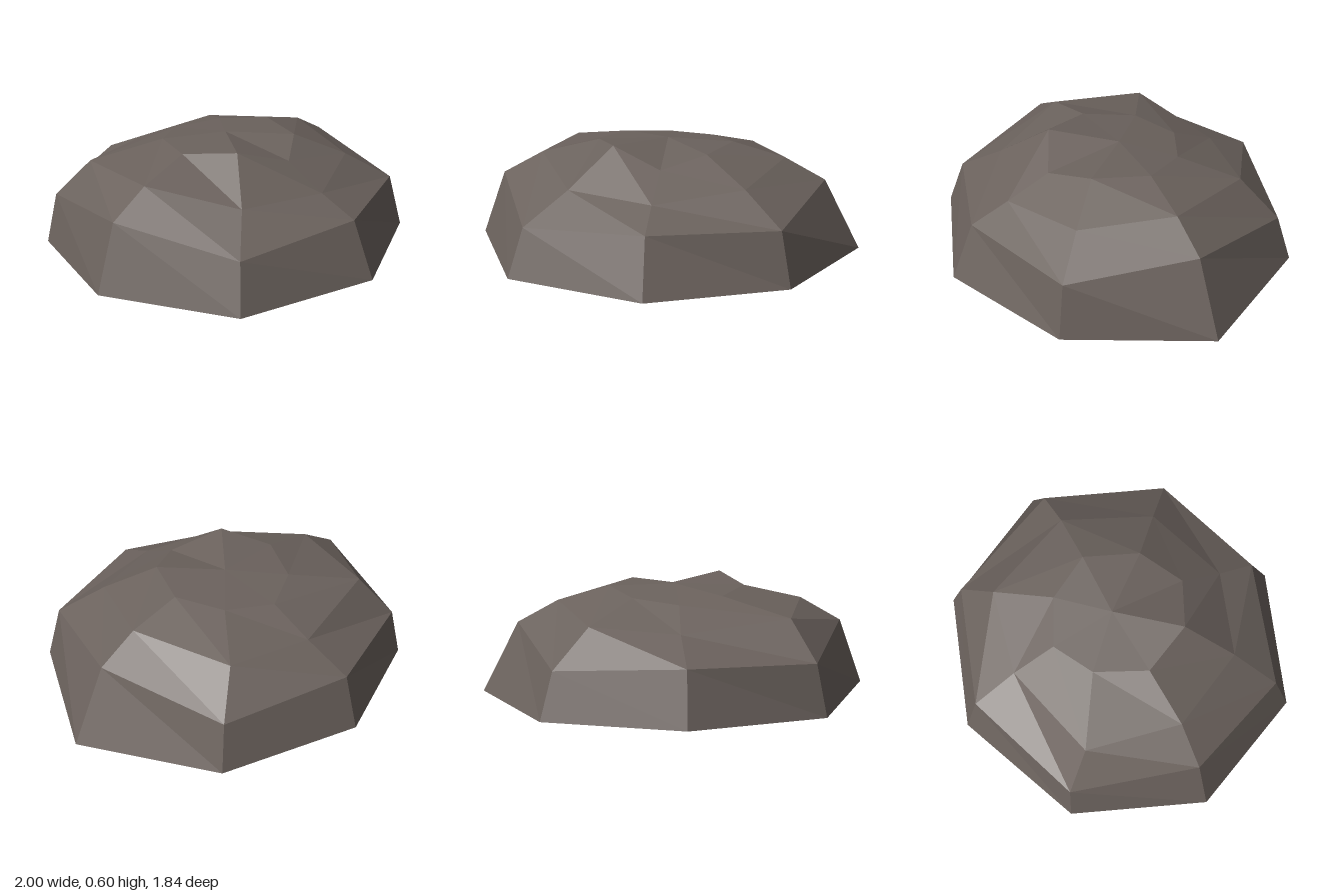
import * as THREE from 'three';

export function createModel() {
  const group = new THREE.Group();
  group.name = 'rockShell';

  const stone = new THREE.MeshStandardMaterial({
    color: 0x6b625d, flatShading: true, side: THREE.DoubleSide,
  });
  stone.name = 'stone';

  // Eight-sided cross-sections [x, y, z], running from +x round through the front (+z)
  const base = [
    [1, 0, -0.01], [0.64, 0.02, 0.66], [-0.04, 0.03, 0.92], [-0.73, 0.02, 0.65],
    [-1, 0.035, 0], [-0.72, 0.02, -0.65], [-0.04, 0.04, -0.92], [0.65, 0.02, -0.68],
  ];
  const shoulder = [
    [0.81, 0.37, -0.01], [0.59, 0.295, 0.61], [-0.04, 0.315, 0.8], [-0.66, 0.265, 0.59],
    [-0.88, 0.37, 0], [-0.67, 0.28, -0.62], [-0.04, 0.31, -0.84], [0.59, 0.255, -0.63],
  ];
  const slope = [
    [0.6, 0.485, -0.01], [0.41, 0.44, 0.44], [-0.03, 0.4, 0.6], [-0.46, 0.415, 0.44],
    [-0.67, 0.49, 0.01], [-0.56, 0.47, -0.47], [-0.02, 0.42, -0.6], [0.42, 0.44, -0.5],
  ];
  const crown = [
    [0.33, 0.56, -0.02], [0.21, 0.56, 0.25], [-0.01, 0.51, 0.38], [-0.26, 0.595, 0.25],
    [-0.37, 0.56, -0.01], [-0.24, 0.545, -0.26], [-0.02, 0.52, -0.37], [0.21, 0.535, -0.25],
  ];
  const apex = Array(8).fill([-0.01, 0.573, -0.03]);
  const lip = base.map(([x, y, z]) => [x * 0.635, 0.02 + (y - 0.02) * 0.6, z * 0.635]);

  // Joins consecutive rings with outward-facing flat facets
  function addSkin(name, rings) {
    const points = [];
    for (let r = 0; r < rings.length - 1; r++) {
      for (let i = 0; i < 8; i++) {
        const j = (i + 1) % 8;
        const a = rings[r][i], b = rings[r][j];
        const c = rings[r + 1][j], d = rings[r + 1][i];
        points.push(...a, ...c, ...b);
        if (c !== d) points.push(...a, ...d, ...c);
      }
    }
    const geometry = new THREE.BufferGeometry();
    geometry.setAttribute('position', new THREE.Float32BufferAttribute(points, 3));
    geometry.computeVertexNormals();
    const mesh = new THREE.Mesh(geometry, stone);
    mesh.name = name;
    group.add(mesh);
  }

  addSkin('sideWall', [base, shoulder]);
  addSkin('dome', [shoulder, slope, crown, apex]);
  // Flat underside rim around the hollow
  addSkin('bottomRim', [lip, base]);

  return group;
}
